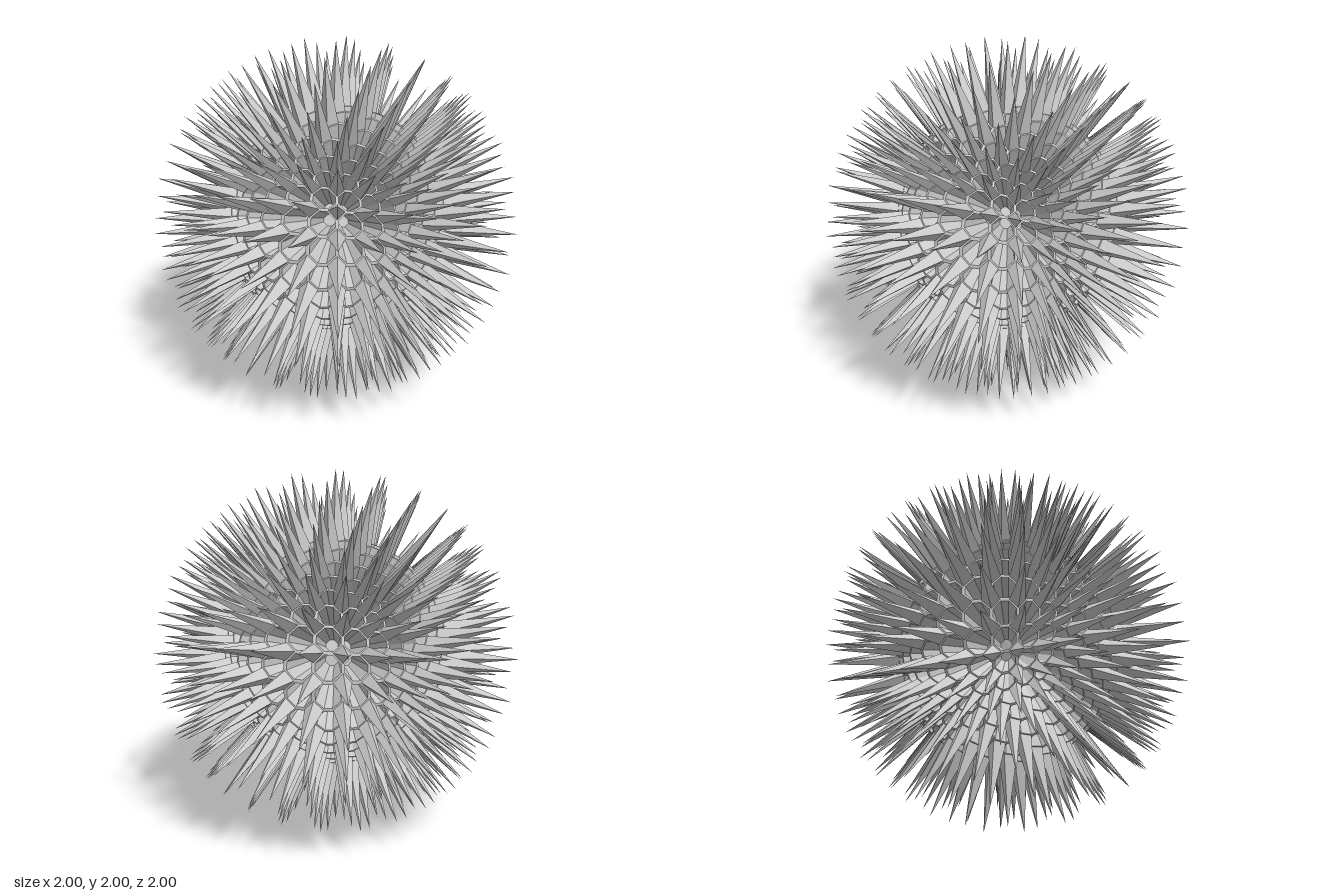
import * as THREE from 'three';

const N = 8;            // cells along each side of the spherified cube
const SHELL = 0.625;    // radius of the honeycomb shell
const TIP = 1.0;        // radius of the spike tips
const FLOOR = 0.32;     // radius of the pit floors
const INSET = 0.87;     // size of a pit mouth relative to its cell

// Collects flat-shaded triangles for one part
function makePart() {
  const points = [];
  return {
    tri(a, b, c) {
      for (const p of [a, b, c]) points.push(p.x, p.y, p.z);
    },
    quad(a, b, c, d) {
      this.tri(a, b, c);
      this.tri(a, c, d);
    },
    mesh(name) {
      const geometry = new THREE.BufferGeometry();
      geometry.setAttribute('position', new THREE.Float32BufferAttribute(points, 3));
      geometry.computeVertexNormals();
      const material = new THREE.MeshStandardMaterial({ color: 0xcccccc, flatShading: true });
      const mesh = new THREE.Mesh(geometry, material);
      mesh.name = name;
      return mesh;
    },
  };
}

// Right-handed axes (u, v, normal) of the six cube sides
function cubeSides() {
  const axes = [new THREE.Vector3(1, 0, 0), new THREE.Vector3(0, 1, 0), new THREE.Vector3(0, 0, 1)];
  const sides = [];
  for (let i = 0; i < 3; i++) {
    const u = axes[(i + 1) % 3], v = axes[(i + 2) % 3], n = axes[i];
    sides.push([u, v, n], [v, u, n.clone().negate()]);
  }
  return sides;
}

export function createModel() {
  const spikes = makePart();
  const rims = makePart();
  const pits = makePart();

  for (const [u, v, n] of cubeSides()) {
    // Direction of a grid point, from the cube pushed out to a sphere
    const direction = (i, j) => n.clone()
      .addScaledVector(u, (2 * i) / N - 1)
      .addScaledVector(v, (2 * j) / N - 1)
      .normalize();

    for (let i = 0; i < N; i++) {
      for (let j = 0; j < N; j++) {
        const corners = [direction(i, j), direction(i + 1, j), direction(i + 1, j + 1), direction(i, j + 1)];
        const base = corners.map((c) => c.clone().multiplyScalar(SHELL));

        // Cut each corner at a third of the edge: an eight-sided cell,
        // with one side of a spike rising from every cut
        const outer = [];
        for (let k = 0; k < 4; k++) {
          const a = base[k].clone().lerp(base[(k + 3) % 4], 1 / 3);
          const b = base[k].clone().lerp(base[(k + 1) % 4], 1 / 3);
          outer.push(a, b);
          spikes.tri(b, a, corners[k].clone().multiplyScalar(TIP));
        }

        // Narrow rim, deep tapering walls and floor of the pit
        const centre = new THREE.Vector3();
        outer.forEach((p) => centre.addScaledVector(p, 1 / 8));
        const mouth = outer.map((p) => centre.clone().lerp(p, INSET));
        const floor = mouth.map((p) => p.clone().multiplyScalar(FLOOR / SHELL));
        const floorCentre = centre.clone().multiplyScalar(FLOOR / SHELL);
        for (let k = 0; k < 8; k++) {
          const m = (k + 1) % 8;
          rims.quad(outer[k], outer[m], mouth[m], mouth[k]);
          pits.quad(mouth[k], mouth[m], floor[m], floor[k]);
          pits.tri(floor[k], floor[m], floorCentre);
        }
      }
    }
  }

  const group = new THREE.Group();
  group.name = 'spikyBall';
  group.add(spikes.mesh('spikes'), rims.mesh('cellRims'), pits.mesh('cellPits'));
  group.children.forEach((part) => { part.position.y = TIP; });
  return group;
}
